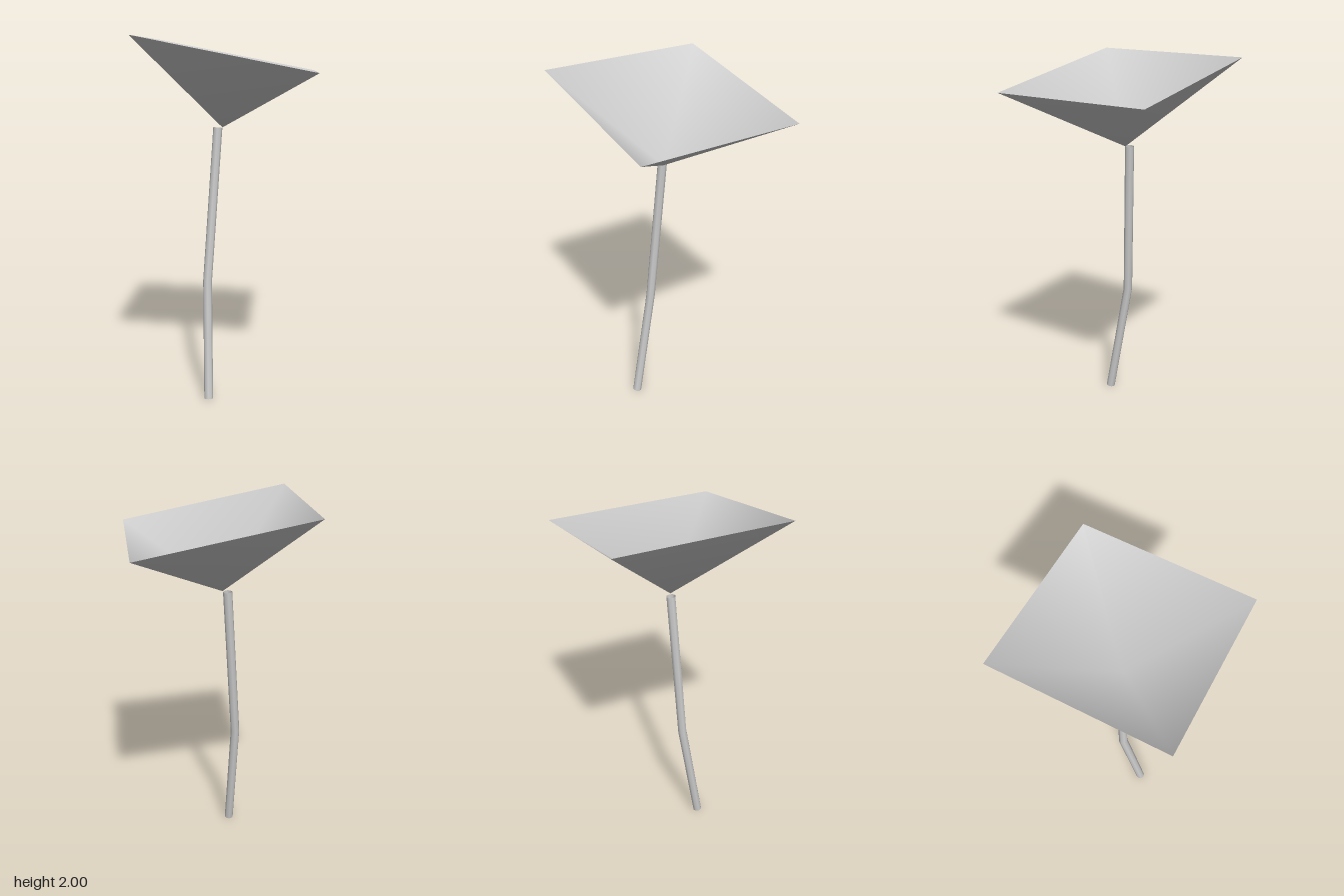
import * as THREE from 'three';

// Path through a few points, one straight piece for each equal step of t
class BentPath extends THREE.Curve {
  constructor(points) {
    super();
    this.points = points;
  }
  getPoint(t, target = new THREE.Vector3()) {
    const last = this.points.length - 1;
    const i = Math.min(Math.floor(t * last), last - 1);
    return target.lerpVectors(this.points[i], this.points[i + 1], t * last - i);
  }
  getPointAt(u, target) {
    return this.getPoint(u, target);
  }
  getTangentAt(u, target) {
    return this.getTangent(u, target);
  }
}

export function createModel() {
  const model = new THREE.Group();
  const grey = new THREE.MeshStandardMaterial({ color: 0xcccccc, side: THREE.DoubleSide });
  grey.name = 'light grey';

  // Open four-sided canopy: tilted square rim around a low tip, smooth normals
  const rim = [
    [0, 2, 0.65],
    [0.65, 1.82, 0],
    [-0.01, 1.81, -0.65],
    [-0.65, 1.985, 0],
  ];
  const tip = [-0.025, 1.515, 0.04];
  const index = [];
  for (let i = 0; i < 4; i++) index.push(i, (i + 1) % 4, 4);
  const canopyShape = new THREE.BufferGeometry();
  canopyShape.setAttribute('position', new THREE.Float32BufferAttribute([...rim, tip].flat(), 3));
  canopyShape.setIndex(index);
  canopyShape.computeVertexNormals();
  const canopy = new THREE.Mesh(canopyShape, grey);
  canopy.name = 'canopy';
  model.add(canopy);

  // Slender open stem with one bend
  const path = new BentPath([
    new THREE.Vector3(0.04, 0.005, 0.2),
    new THREE.Vector3(-0.054, 0.66, 0.127),
    new THREE.Vector3(-0.05, 1.513, 0.052),
  ]);
  const stem = new THREE.Mesh(new THREE.TubeGeometry(path, 2, 0.025, 8, false), grey);
  stem.name = 'stem';
  model.add(stem);

  return model;
}
